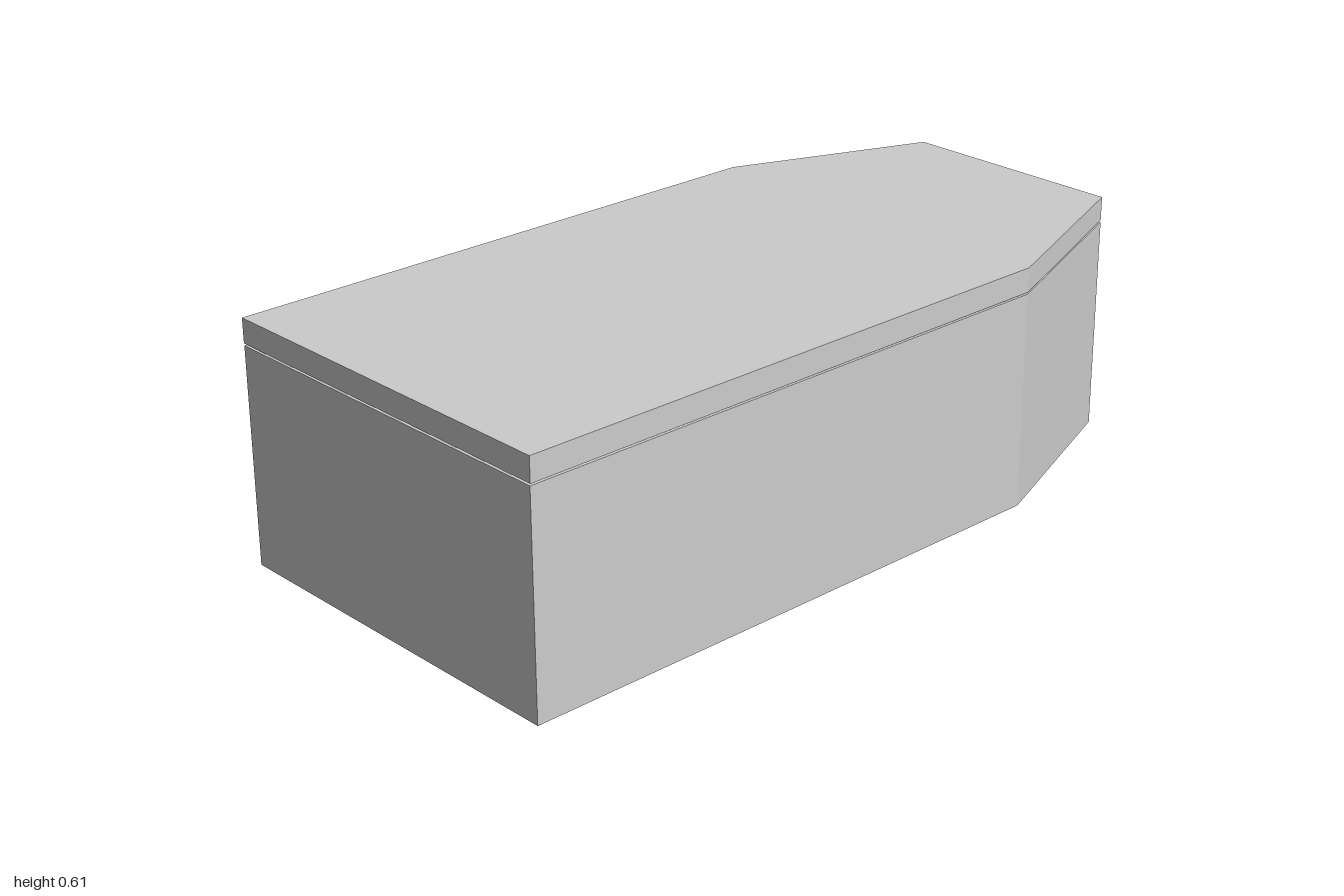
import * as THREE from 'three';

const material = new THREE.MeshStandardMaterial({ color: 0xcccccc, flatShading: true });

// Six-sided slab, tapered towards the back, standing from y = bottom to y = top
function taperedSlab(name, halfWidth, bottom, top) {
  const outline = new THREE.Shape([
    [-halfWidth, -1], [halfWidth, -1],
    [halfWidth, 0.495], [0.3, 1],
    [-0.3, 1], [-halfWidth, 0.495],
  ].map(([x, y]) => new THREE.Vector2(x, y)));
  const geometry = new THREE.ExtrudeGeometry(outline, { depth: top - bottom, bevelEnabled: false });
  geometry.rotateX(-Math.PI / 2); // outline +y becomes the back (-z)
  const mesh = new THREE.Mesh(geometry, material);
  mesh.name = name;
  mesh.position.y = bottom;
  return mesh;
}

export function createModel() {
  const model = new THREE.Group();
  model.name = 'taperedBox';
  // Body, and a lid hovering just above it with a thin gap
  model.add(taperedSlab('body', 0.495, 0, 0.545));
  model.add(taperedSlab('lid', 0.496, 0.55, 0.611));
  return model;
}
